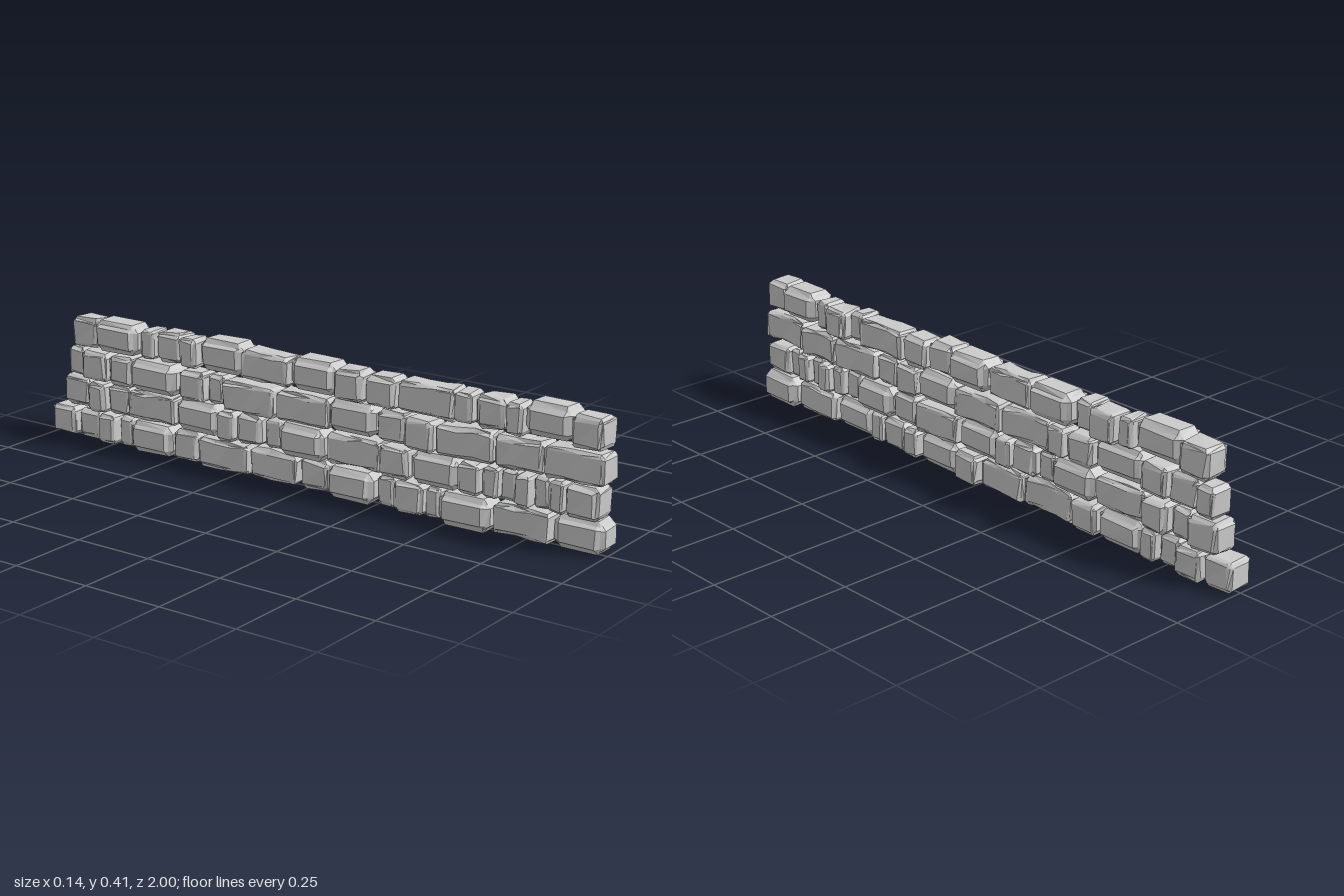
import * as THREE from 'three';

// Four stone kinds: half thickness (x), half height (y), chamfer, lengthwise segments, jitter, waist
const KINDS = {
  C: { name: 'cutStone', hx: 0.052, hy: 0.049, r: 0.022, n: 3, jitter: 0.002, waist: 0 },
  R: { name: 'roughStone', hx: 0.046, hy: 0.046, r: 0.012, n: 5, jitter: 0.004, waist: 0.009 },
  S: { name: 'smallStone', hx: 0.047, hy: 0.047, r: 0.014, n: 3, jitter: 0.004, waist: 0.003 },
  N: { name: 'narrowStone', hx: 0.043, hy: 0.046, r: 0.012, n: 3, jitter: 0.003, waist: 0.004 },
};

// Courses from the ground up: kinds in order and the joints between them (hundredths, along z)
const COURSES = [
  { y: 0.052, kinds: 'CRCNSNCSRRSCNNSS',
    joints: [100, 84, 65.5, 48, 42.5, 32, 25.5, 8.5, -2, -20, -40, -50, -67, -73, -80.5, -90, -100] },
  { y: 0.151, kinds: 'SNNNNNNCSRCNSNCRSNS',
    joints: [98.5, 88, 83, 77.5, 72.5, 67, 61.5, 54, 37.5, 27, 8, -9, -15.5, -25, -32, -49, -67.5, -77, -84.5, -95.5] },
  { y: 0.248, kinds: 'RRRSSCRRNSCSSN',
    joints: [100, 81, 65, 46, 36, 26, 9, -11, -30.5, -37.5, -47.5, -66, -76, -87, -93.5] },
  { y: 0.351, kinds: 'SCNSNRSSCRCNSNCS',
    joints: [100, 90, 74.5, 68.5, 58.5, 52, 32.5, 22, 11.5, -5, -23, -40, -47, -57, -62.5, -80, -90.5] },
];

// Sideways shift of the stones, in order of laying
const SHIFTS = [0.015, 0, -0.014, 0.004, -0.004, 0.012, -0.008];

// Repeatable noise in -1..1, equal for coincident corners
function noise(a, b, c, seed) {
  const s = Math.sin(a * 12.99 + b * 78.23 + c * 37.72 + seed * 4.137) * 43758.5453;
  return (s - Math.floor(s)) * 2 - 1;
}

// A box whose edges are pulled in to chamfers, with a waist and uneven faces
function stoneGeometry(kind, hz, seed) {
  const g = new THREE.BoxGeometry(2, 2, 2, 3, 3, kind.n);
  const p = g.attributes.position;
  const half = [kind.hx, kind.hy, hz];
  const segments = [3, 3, kind.n];
  const r = Math.min(kind.r, hz * 0.4);
  for (let i = 0; i < p.count; i++) {
    const u = [p.getX(i), p.getY(i), p.getZ(i)];
    const ends = u.filter((v) => Math.abs(v) > 0.99).length;
    const pull = [0, 0, 0.55, 0.7][ends] * r;
    const v = u.map((t, k) => (Math.abs(t) > 0.99
      ? Math.sign(t) * (half[k] - pull)
      : (t / (1 - 2 / segments[k])) * (half[k] - r)));
    const key = u.map((t) => Math.round(t * 15));
    const dent = kind.waist * (1 - Math.abs(u[2]));
    v[0] -= Math.sign(u[0]) * dent;
    v.forEach((t, k) => { v[k] = t + kind.jitter * noise(...key, seed + k * 17); });
    // long rough stones bulge and twist a little along their length
    if (kind.n > 3) v[0] += 0.005 * Math.sin(u[2] * 2.6 + seed);
    v[2] = THREE.MathUtils.clamp(v[2], -hz, hz);
    p.setXYZ(i, ...v);
  }
  g.computeVertexNormals();
  return g;
}

export function createModel() {
  const wall = new THREE.Group();
  wall.name = 'stoneWall';
  const material = new THREE.MeshStandardMaterial({ color: 0xcccccc, flatShading: true });
  let seed = 0;
  COURSES.forEach(({ y, kinds, joints }, row) => {
    const course = new THREE.Group();
    course.name = `course${row + 1}`;
    [...kinds].forEach((letter, i) => {
      const kind = KINDS[letter];
      const front = joints[i] / 100;
      const back = joints[i + 1] / 100;
      const gap = i === 0 || i === kinds.length - 1 ? 0 : 0.002;
      const geometry = stoneGeometry(kind, (front - back) / 2 - gap, ++seed);
      const stone = new THREE.Mesh(geometry, material);
      stone.name = kind.name;
      const shift = SHIFTS[(i + row * 3) % SHIFTS.length] * (letter === 'R' ? 0.4 : 1);
      // upper courses sit a little unevenly; cut stones ride slightly high
      const lift = row === 0 ? 0 : 0.003 * noise(i, row, 1, 5) + (row > 1 && letter === 'C' ? 0.007 : 0);
      stone.position.set(shift, y + lift, (front + back) / 2);
      course.add(stone);
    });
    wall.add(course);
  });
  return wall;
}
